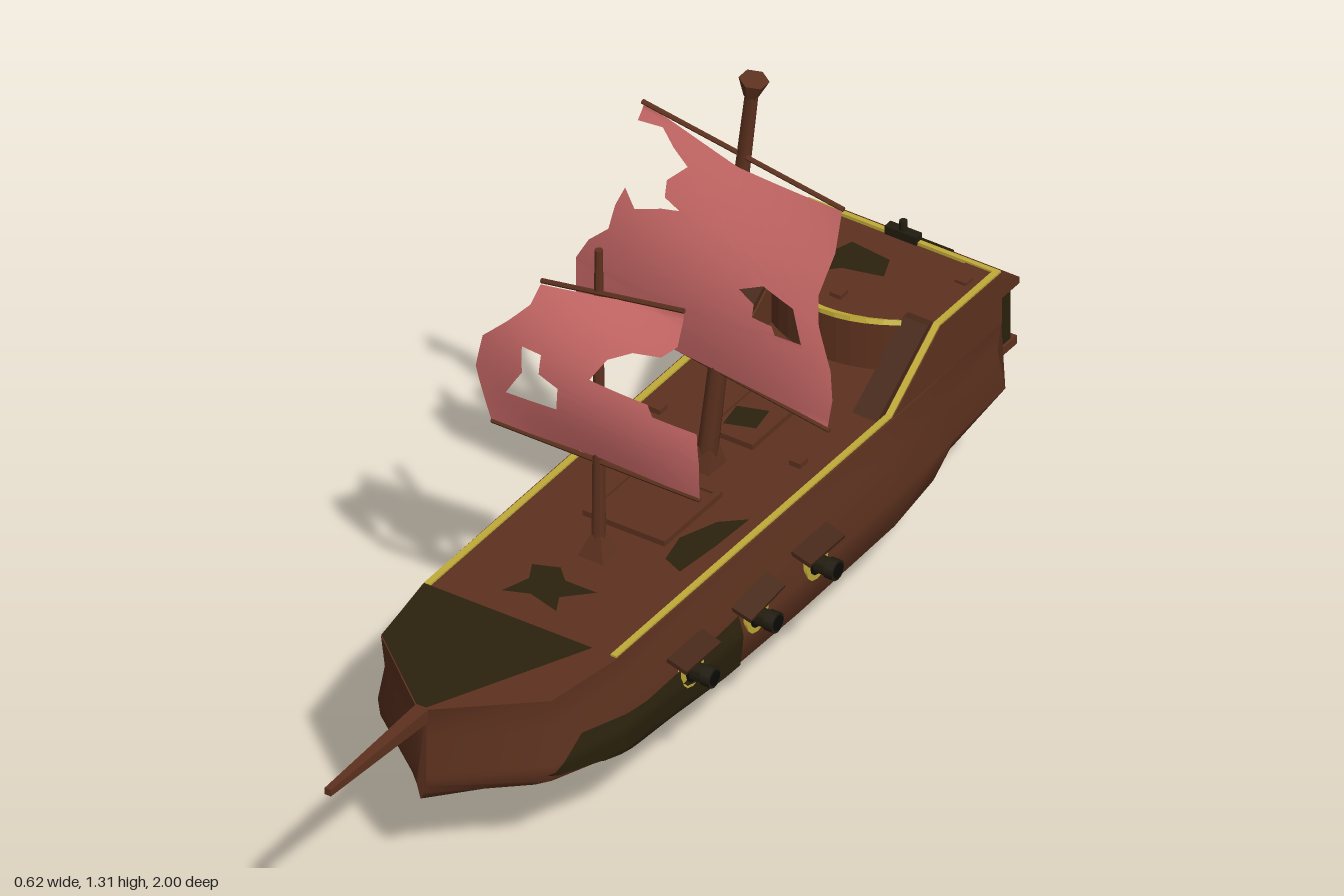
import * as THREE from 'three';
import { toCreasedNormals } from 'three/addons/utils/BufferGeometryUtils.js';

const mat = (name, color, side = THREE.FrontSide) => {
  const m = new THREE.MeshStandardMaterial({ color, side });
  m.name = name;
  return m;
};
const V = (x, y, z) => new THREE.Vector3(x, y, z);
const shapeOf = pts => new THREE.Shape(pts.map(p => new THREE.Vector2(p[0], p[1])));

// Hull stations, stern to bow: z, keel height, half beam, half deck width
const STATIONS = [
  [-0.92, 0.235, 0.222, 0.213], [-0.73, 0.17, 0.232, 0.216], [-0.67, 0.06, 0.236, 0.217],
  [-0.53, 0.0, 0.243, 0.217], [-0.2, 0.005, 0.25, 0.217], [0.05, 0.02, 0.25, 0.217],
  [0.36, 0.065, 0.24, 0.215], [0.54, 0.135, 0.195, 0.188], [0.69, 0.19, 0.012, 0.012],
];
const DECK = 0.395;

// Half section from the deck edge down to the keel
function section([, k, w, top]) {
  const h = 0.25 - k;
  return [[top, DECK], [Math.min(0.92 * w, top + 0.01), 0.33], [w, 0.25], [0.97 * w, k + 0.7 * h],
    [0.78 * w, k + 0.5 * h], [0.4 * w, k + 0.22 * h], [0.12 * w, k + 0.015 * h], [0, k]];
}

// Half width of the hull at a given z and y
function hullX(z, y) {
  let i = 0;
  while (i < STATIONS.length - 2 && STATIONS[i + 1][0] < z) i++;
  const a = STATIONS[i], b = STATIONS[i + 1], t = (z - a[0]) / (b[0] - a[0]);
  const s = section(a.map((v, n) => v + (b[n] - v) * t));
  let j = 0;
  while (j < s.length - 2 && s[j + 1][1] > y) j++;
  const u = Math.max(0, (s[j][1] - y) / (s[j][1] - s[j + 1][1]));
  return s[j][0] + (s[j + 1][0] - s[j][0]) * u;
}

function hullGeometry() {
  const pos = [], idx = [], n = 15;
  for (const st of STATIONS) {
    const s = section(st);
    const ring = [...s, ...s.slice(0, -1).reverse().map(p => [-p[0], p[1]])];
    ring.forEach(p => pos.push(p[0], p[1], st[0]));
  }
  for (let i = 0; i < STATIONS.length - 1; i++) for (let j = 0; j < n; j++) {
    const a = i * n + j, b = i * n + (j + 1) % n, c = b + n, d = a + n;
    idx.push(a, d, c, a, c, b);
  }
  for (let j = 1; j < n - 1; j++) {
    idx.push(0, j, j + 1);
    const o = (STATIONS.length - 1) * n;
    idx.push(o, o + j + 1, o + j);
  }
  const g = new THREE.BufferGeometry();
  g.setAttribute('position', new THREE.Float32BufferAttribute(pos, 3));
  g.setIndex(idx);
  return toCreasedNormals(g, 1);
}

// Flat shape split into small triangles, each vertex then moved by a rule
function bentSheet(shape, rule, levels = 3) {
  const g = new THREE.ShapeGeometry(shape);
  const p = g.attributes.position;
  let tris = [];
  for (let i = 0; i < g.index.count; i += 3)
    tris.push([0, 1, 2].map(k => new THREE.Vector3().fromBufferAttribute(p, g.index.getX(i + k))));
  for (let l = 0; l < levels; l++) tris = tris.flatMap(([a, b, c]) => {
    const ab = a.clone().lerp(b, 0.5), bc = b.clone().lerp(c, 0.5), ca = c.clone().lerp(a, 0.5);
    return [[a, ab, ca], [ab, b, bc], [ca, bc, c], [ab, bc, ca]];
  });
  const out = new THREE.BufferGeometry().setFromPoints(tris.flat().map(rule));
  out.computeVertexNormals();
  return toCreasedNormals(out, 1);
}

export function createModel() {
  const wood = mat('hull wood', 0x5e321f), trim = mat('dark timber', 0x472818);
  const rot = mat('rotten wood', 0x2b220d, THREE.DoubleSide);
  const gold = mat('gold trim', 0xc0ab38), iron = mat('iron', 0x211c0f), black = mat('black', 0x0b0a08);
  const cloth = mat('red sailcloth', 0xe07674, THREE.DoubleSide);
  const glow = mat('orange glass', 0xd8602a), pale = mat('pale glass', 0xcdbda6);
  const root = new THREE.Group(), ship = new THREE.Group();
  root.name = 'sailingShip';
  ship.name = 'shipBody';
  ship.position.x = -0.013;
  root.add(ship);

  const add = (name, geo, m, parent = ship) => {
    const o = new THREE.Mesh(geo, m);
    o.name = name;
    parent.add(o);
    return o;
  };
  const box = (name, w, h, d, x, y, z, m) => {
    const o = add(name, new THREE.BoxGeometry(w, h, d), m);
    o.position.set(x, y, z);
    return o;
  };
  // Straight tapered pole between two points
  const spar = (name, a, b, r1, r2, m, parent = ship, sides = 8) => {
    const g = new THREE.CylinderGeometry(r2, r1, a.distanceTo(b), sides);
    if (sides === 4) g.rotateY(Math.PI / 4);
    const o = add(name, toCreasedNormals(g, 0.9), m, parent);
    o.position.copy(a).lerp(b, 0.5);
    o.quaternion.setFromUnitVectors(V(0, 1, 0), b.clone().sub(a).normalize());
    return o;
  };
  // Side profile of [z, y] points extruded across x
  const profile = (name, pts, x0, x1, m) => {
    const g = new THREE.ExtrudeGeometry(shapeOf(pts.map(([z, y]) => [-z, y])), { depth: x1 - x0, bevelEnabled: false });
    g.rotateY(Math.PI / 2);
    g.translate(x0, 0, 0);
    return add(name, g, m);
  };
  // Thin flat patch on a deck, given as [x, z] points
  const deckPatch = (pts, y) => {
    const g = new THREE.ShapeGeometry(shapeOf(pts.map(([x, z]) => [x, -z])));
    g.rotateX(-Math.PI / 2);
    add('deckPatch', g, rot).position.y = y;
  };
  const hullPatch = (pts, side) => add('hullPatch',
    bentSheet(shapeOf(pts), p => V(side * (hullX(p.x, p.y) + 0.005), p.y, p.x)), rot);

  add('hull', hullGeometry(), wood);
  profile('rudder', [[-0.66, 0.07], [-0.83, 0.1], [-0.89, 0.24], [-0.7, 0.24]], -0.014, 0.014, wood);

  // Raised stern deck with a bowed front and sloping sides
  const bow = [];
  for (let i = 0; i <= 10; i++) {
    const x = -0.145 + 0.029 * i;
    bow.push([x, -0.645 - 0.045 * (x / 0.145) ** 2]);
  }
  const poop = new THREE.ExtrudeGeometry(shapeOf([[-0.145, 0.92], ...bow.map(([x, z]) => [x, -z]), [0.145, 0.92]]),
    { depth: 0.112, bevelEnabled: false });
  poop.rotateX(-Math.PI / 2);
  add('sternDeck', poop, wood).position.y = 0.393;
  const slope = [[-0.556, 0.395], [-0.716, 0.508], [-0.92, 0.508], [-0.92, 0.395]];
  profile('sternSide', slope, 0.14, 0.215, wood);
  profile('sternSide', slope, -0.215, -0.14, wood);
  for (const s of [-1, 1]) {
    const ramp = profile('sternRamp', [[-0.53, 0.395], [-0.7, 0.512], [-0.716, 0.512], [-0.556, 0.395]], 0, 0.055, trim);
    ramp.position.x = s * 0.17 - 0.0275;
  }

  // Gold trim along the rails, across the stern and on the stern deck edge
  const line = (a, b) => spar('goldTrim', a, b, 0.007, 0.007, gold, ship, 4);
  const rail = [[0.36, 0.395], [-0.556, 0.395], [-0.716, 0.508], [-0.92, 0.508]];
  const strip = [...rail, ...rail.map(([z, y]) => [z, y + 0.004]).reverse()];
  for (const s of [-1, 1]) profile('goldRail', strip, s * 0.206 - 0.0065, s * 0.206 + 0.0065, gold);
  line(V(-0.21, 0.507, -0.915), V(0.21, 0.507, -0.915));
  for (let i = 0; i < 10; i++)
    line(V(bow[i][0], 0.504, bow[i][1]), V(bow[i + 1][0], 0.504, bow[i + 1][1]));

  // Stern gallery with glowing windows
  profile('galleryFloor', [[-0.91, 0.24], [-0.935, 0.294], [-1, 0.294], [-1, 0.312], [-0.91, 0.312]], -0.195, 0.195, wood);
  profile('galleryRoof', [[-0.91, 0.49], [-1, 0.446], [-1, 0.432], [-0.91, 0.432]], -0.2, 0.2, wood);
  box('galleryCentre', 0.12, 0.122, 0.075, 0, 0.372, -0.95, rot);
  profile('roofPatch', [[-0.915, 0.494], [-1, 0.45], [-1, 0.444], [-0.915, 0.484]], -0.05, 0.055, rot);
  for (const s of [-1, 1]) {
    box('windowGlow', 0.122, 0.122, 0.06, s * 0.122, 0.372, -0.951, glow);
    for (let i = 0; i < 5; i++) {
      box('windowBar', 0.007, 0.122, 0.008, s * (0.067 + i * 0.029), 0.372, -0.981, trim);
      if (i < 4) box('windowPane', 0.012, 0.05, 0.006, s * (0.0815 + i * 0.029), 0.405, -0.981, pale);
    }
    box('windowSide', 0.008, 0.122, 0.062, s * 0.186, 0.372, -0.955, rot);
  }
  spar('sternPost', V(0, 0.5, -0.915), V(0, 0.545, -0.915), 0.008, 0.008, iron);
  box('sternOrnament', 0.07, 0.018, 0.02, 0, 0.516, -0.915, iron);

  // Gun ports with cannons and open lids
  for (const s of [-1, 1]) [0.16, -0.05, -0.25].forEach((z, i) => {
    const y = 0.265, x = hullX(z, y);
    const pole = (name, x0, x1, r, m) => spar(name, V(s * x0, y, z), V(s * x1, y, z), r, r, m, ship, 12);
    pole('portRing', x - 0.03, x + 0.007, 0.036, gold);
    pole('portHole', x - 0.02, x + 0.009, 0.024, black);
    pole('cannon', x - 0.02, 0.285, 0.018, iron);
    pole('cannonMuzzle', 0.277, 0.297, 0.021, iron);
    pole('cannonBore', 0.29, 0.2985, 0.016, black);
    const lid = box('portLid', 0.045, 0.009, 0.115, s * (x + 0.008), 0.306, z, trim);
    lid.rotation.set(i === 1 ? 0.12 : 0, 0, -s * 0.3);
  });

  // Rotten patches on hull and decks
  hullPatch([[0.55, 0.23], [0.47, 0.29], [0.3, 0.275], [0, 0.29], [0, 0.18], [0.2, 0.18], [0.36, 0.15], [0.4, 0.2]], 1);
  hullPatch([[-0.83, 0.4], [-0.8, 0.45], [-0.73, 0.455], [-0.74, 0.41], [-0.78, 0.385]], -1);
  hullPatch([[-0.88, 0.27], [-0.84, 0.35], [-0.77, 0.36], [-0.76, 0.29], [-0.83, 0.25]], -1);
  deckPatch([[-0.212, 0.36], [0.16, 0.36], [0.01, 0.688], [-0.012, 0.688], [-0.187, 0.54]], 0.398);
  deckPatch([[0.1, -0.02], [0.13, -0.1], [0.175, -0.14], [0.17, -0.03], [0.16, 0.07], [0.115, 0.05]], 0.398);
  deckPatch([[-0.08, 0.2], [-0.03, 0.18], [0, 0.21], [0.07, 0.21], [0.02, 0.26], [0.04, 0.3], [-0.03, 0.28], [-0.08, 0.3], [-0.06, 0.24]], 0.398);
  deckPatch([[-0.14, -0.76], [-0.09, -0.79], [-0.07, -0.85], [0.02, -0.84], [0.04, -0.79], [-0.04, -0.77], [-0.08, -0.73]], 0.508);

  // Deck hatches, framed
  const hatch = (x, z, w, d) => {
    box('hatchCover', w, 0.008, d, x, 0.398, z, wood);
    for (const s of [-1, 1]) {
      box('hatchFrame', 0.012, 0.016, d + 0.012, x + s * w / 2, 0.399, z, wood);
      box('hatchFrame', w, 0.016, 0.012, x, 0.399, z + s * d / 2, wood);
    }
  };
  hatch(0, -0.08, 0.17, 0.18);
  hatch(0, -0.43, 0.1, 0.19);
  deckPatch([[-0.04, -0.42], [0.02, -0.44], [0.03, -0.38], [-0.03, -0.36]], 0.404);
  for (const [x, z, y] of [[-0.16, -0.34, 0.4], [0.15, -0.34, 0.4], [-0.18, -0.88, 0.508], [0.17, -0.86, 0.508], [0, -0.7, 0.508]])
    box('deckCleat', 0.025, 0.012, 0.025, x, y, z, wood);

  // Masts and bowsprit
  spar('bowsprit', V(0, 0.38, 0.67), V(0, 0.388, 1), 0.021, 0.01, wood, ship, 4);
  spar('foreMast', V(-0.012, 0.39, 0.1), V(-0.012, 1.08, 0.1), 0.014, 0.008, wood, root);
  spar('foreMastBase', V(-0.012, 0.39, 0.1), V(-0.012, 0.44, 0.1), 0.042, 0.016, wood, root, 4);
  spar('mainMast', V(-0.005, 0.39, -0.245), V(0.099, 1.29, -0.245), 0.021, 0.013, wood, root);
  spar('mainMastBase', V(-0.008, 0.39, -0.245), V(0, 0.44, -0.245), 0.045, 0.024, wood, root, 4);
  spar('mastCap', V(0.095, 1.265, -0.245), V(0.102, 1.305, -0.245), 0.014, 0.029, wood, root, 6);

  // Torn sails, bellied forward, and their yards
  const sail = (name, outline, hole, z0, depth, [y0, y1]) => {
    const s = shapeOf(outline);
    s.holes.push(new THREE.Path(hole.map(p => new THREE.Vector2(p[0], p[1]))));
    add(name, bentSheet(s, p => {
      const v = THREE.MathUtils.clamp((p.y - y0) / (y1 - y0), 0, 1);
      return V(p.x, p.y, z0 + depth * Math.sin(Math.PI * v) * (1 - 8 * p.x * p.x));
    }), cloth, root);
  };
  sail('mainSail', [[-0.28, 0.675], [-0.275, 0.77], [-0.24, 0.83], [-0.19, 0.88], [-0.175, 0.94], [-0.155, 0.985],
    [-0.13, 0.95], [-0.07, 0.975], [-0.03, 0.985], [-0.065, 1.0], [-0.065, 1.035], [-0.025, 1.075], [-0.06, 1.1],
    [-0.09, 1.13], [-0.145, 1.125], [-0.135, 1.163], [0.08, 1.11], [0.305, 1.095], [0.295, 1.0], [0.265, 0.9], [0.265, 0.83],
    [0.285, 0.73], [0.285, 0.66], [0.27, 0.59], [0.0, 0.635]],
  [[0.105, 0.865], [0.155, 0.888], [0.215, 0.855], [0.228, 0.775], [0.175, 0.78], [0.17, 0.8], [0.13, 0.808], [0.135, 0.84]],
  -0.236, 0.05, [0.6, 1.15]);
  sail('foreSail', [[-0.245, 0.607], [-0.255, 0.66], [-0.27, 0.73], [-0.25, 0.81], [-0.19, 0.87], [-0.145, 0.92], [-0.13, 0.965],
    [0, 0.985], [0.18, 1.018], [0.175, 0.945], [0.145, 0.915], [0.085, 0.905], [0.035, 0.875], [0, 0.82], [0.125, 0.81],
    [0.135, 0.785], [0.225, 0.775], [0.225, 0.7], [0.215, 0.607], [0, 0.62]],
  [[-0.155, 0.83], [-0.11, 0.83], [-0.115, 0.785], [-0.072, 0.77], [-0.08, 0.715], [-0.2, 0.7], [-0.175, 0.74], [-0.155, 0.77]],
  0.105, 0.045, [0.605, 1.0]);
  [[-0.14, 1.165, 0.305, 1.095, -0.238], [-0.285, 0.675, 0.275, 0.586, -0.236], [-0.135, 0.965, 0.18, 1.02, 0.105],
    [-0.245, 0.607, 0.215, 0.607, 0.105]].forEach(([xa, ya, xb, yb, z]) =>
    spar('yard', V(xa, ya, z), V(xb, yb, z), 0.005, 0.005, wood, root, 6));
  return root;
}
